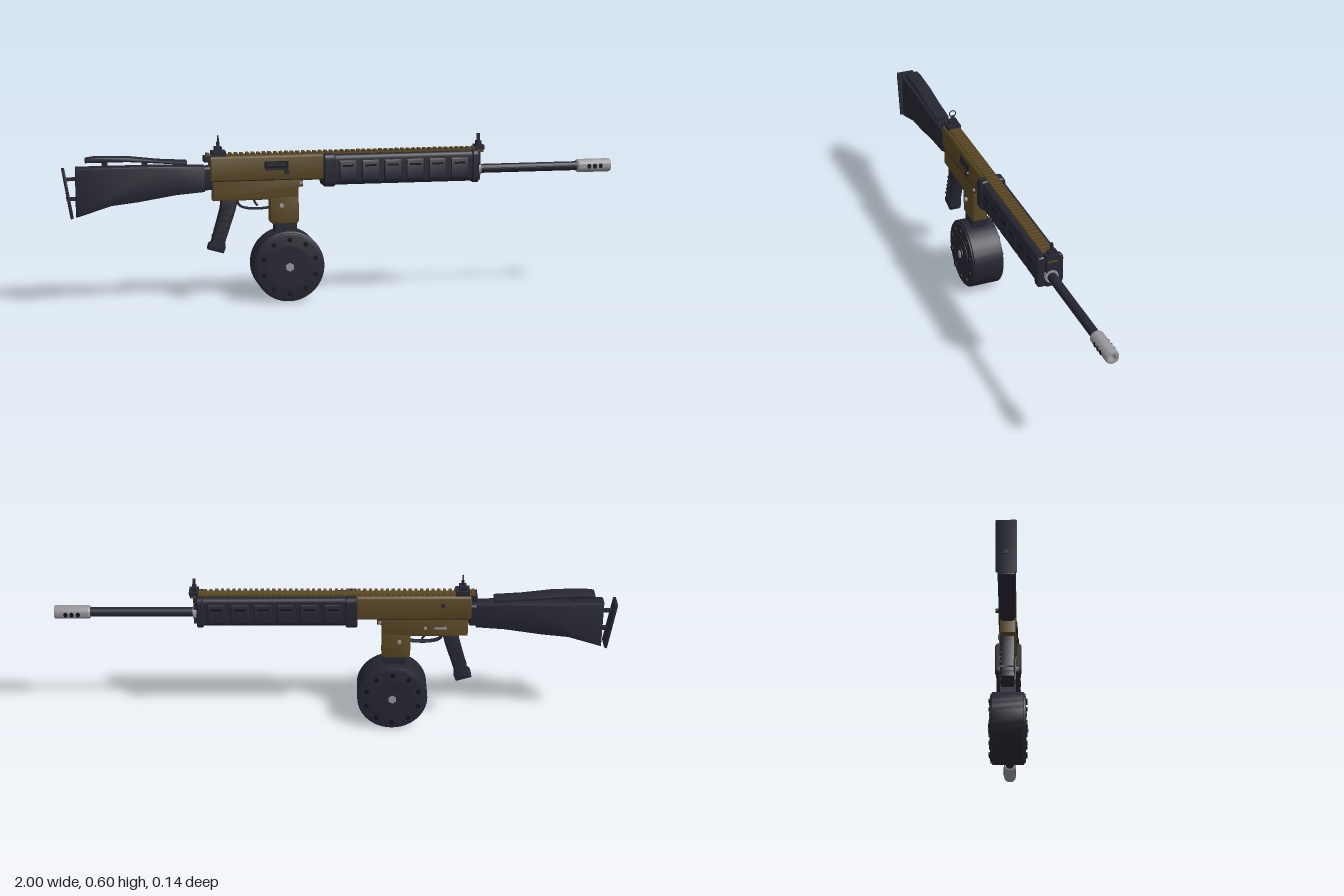
import * as THREE from 'three';
import { toCreasedNormals } from 'three/addons/utils/BufferGeometryUtils.js';

const mat = (name, color) => {
  const m = new THREE.MeshStandardMaterial({ color });
  m.name = name;
  return m;
};

export function createModel() {
  const dark = mat('dark polymer', 0x262632);
  const olive = mat('olive metal', 0x5a4824);
  const grey = mat('bare steel', 0x96969b);
  const black = mat('black recess', 0x111116);
  const root = new THREE.Group();
  root.name = 'rifle';

  const add = (name, geo, material, x = 0, y = 0, z = 0) => {
    const m = new THREE.Mesh(geo, material);
    m.name = name;
    m.position.set(x, y, z);
    root.add(m);
    return m;
  };
  // Box given by its limits
  const box = (name, material, x0, x1, y0, y1, z0, z1) =>
    add(name, new THREE.BoxGeometry(x1 - x0, y1 - y0, z1 - z0), material, (x0 + x1) / 2, (y0 + y1) / 2, (z0 + z1) / 2);
  // Side outline, extruded across the width with bevelled edges
  const side = (name, material, pts, half, bevel = 0.006) => {
    const shape = new THREE.Shape(pts.map(p => new THREE.Vector2(...p)));
    const geo = new THREE.ExtrudeGeometry(shape, {
      depth: 2 * (half - bevel), bevelThickness: bevel, bevelSize: bevel, bevelOffset: -bevel, bevelSegments: 2
    });
    geo.translate(0, 0, bevel - half);
    return add(name, toCreasedNormals(geo, 0.6), material);
  };
  // Rounded rectangle section, extruded along the length
  const bar = (name, material, x0, x1, y0, y1, half, r, bevel = 0.004) => {
    const s = new THREE.Shape();
    s.moveTo(-half + r, y0);
    s.lineTo(half - r, y0).quadraticCurveTo(half, y0, half, y0 + r);
    s.lineTo(half, y1 - r).quadraticCurveTo(half, y1, half - r, y1);
    s.lineTo(-half + r, y1).quadraticCurveTo(-half, y1, -half, y1 - r);
    s.lineTo(-half, y0 + r).quadraticCurveTo(-half, y0, -half + r, y0);
    const geo = new THREE.ExtrudeGeometry(s, {
      depth: x1 - x0 - 2 * bevel, bevelThickness: bevel, bevelSize: bevel, bevelOffset: -bevel, bevelSegments: 1, curveSegments: 5
    });
    geo.translate(0, 0, bevel);
    geo.rotateY(Math.PI / 2);
    return add(name, toCreasedNormals(geo, 0.6), material, x0);
  };
  // Turned part; profile points are [radius, position along the axis]
  const turned = (pts, axis, n = 32) => {
    const geo = new THREE.LatheGeometry(pts.map(p => new THREE.Vector2(...p)), n);
    if (axis === 'x') geo.rotateZ(-Math.PI / 2);
    else geo.rotateX(Math.PI / 2);
    return toCreasedNormals(geo, 0.5);
  };
  const pin = (name, material, r, x, y, z0, z1, n = 14) =>
    add(name, turned([[0, z0], [r, z0], [r, z1], [0, z1]], 'z', n), material, x, y, 0);

  // Barrel and muzzle brake
  const axisY = 0.453;
  add('barrel', turned([[0, 0.4], [0.0165, 0.4], [0.0165, 0.89], [0, 0.89]], 'x', 24), dark, 0, axisY);
  add('barrelNut', turned([[0, 0.48], [0.024, 0.48], [0.024, 0.507], [0, 0.507]], 'x', 24), grey, 0, axisY);
  add('muzzleBrake', turned([[0.016, 0.872], [0.021, 0.872], [0.0245, 0.878], [0.0245, 0.994], [0.022, 1],
    [0.013, 1], [0.013, 0.9]], 'x', 28), grey, 0, axisY);
  add('bore', turned([[0.013, 0.92], [0, 0.92]], 'x', 20), black, 0, axisY).material.side = THREE.DoubleSide;
  for (const s of [-1, 1]) for (let i = 0; i < 3; i++) {
    const port = pin('brakePort', black, 0.0075, 0.915 + i * 0.022, axisY, s > 0 ? 0.022 : -0.0255, s > 0 ? 0.0255 : -0.022, 12);
    port.scale.y = 1.2;
  }

  // Handguard with collars, side ribs and slots
  bar('handguard', dark, -0.07, 0.485, 0.413, 0.523, 0.041, 0.018);
  bar('handguardRearCollar', dark, -0.077, -0.035, 0.408, 0.526, 0.048, 0.018);
  bar('handguardFrontCap', dark, 0.468, 0.492, 0.408, 0.526, 0.048, 0.018);
  for (let i = 0; i < 6; i++) {
    const x = -0.022 + i * 0.082;
    bar('handguardRib', dark, x, x + 0.066, 0.42, 0.505, 0.0445, 0.014);
    for (const s of [-1, 1]) box('handguardSlot', black, x + 0.012, x + 0.054, 0.479, 0.486, s * 0.0445 - 0.001, s * 0.0445 + 0.001);
    box('handguardBottomSlot', black, x + 0.012, x + 0.054, 0.412, 0.42, -0.008, 0.008);
  }

  // Top rail with teeth
  box('railBase', olive, -0.495, 0.515, 0.515, 0.527, -0.018, 0.018);
  for (let i = 0; i < 50; i++) {
    const x = -0.493 + i * 0.0202;
    box('railTooth', olive, x, x + 0.011, 0.526, 0.534, -0.021, 0.021);
  }

  // Front sight
  box('frontSightPlate', dark, 0.492, 0.504, 0.415, 0.53, -0.018, 0.018);
  box('frontSightBase', dark, 0.485, 0.518, 0.526, 0.541, -0.024, 0.024);
  box('frontSightBlock', dark, 0.492, 0.508, 0.535, 0.556, -0.015, 0.015);
  box('frontSightPost', dark, 0.495, 0.505, 0.55, 0.583, -0.004, 0.004);

  // Rear sight with ring aperture
  box('rearSightBase', dark, -0.475, -0.425, 0.525, 0.543, -0.024, 0.024);
  box('rearSightBlock', dark, -0.463, -0.438, 0.54, 0.558, -0.016, 0.016);
  box('rearSightStem', dark, -0.455, -0.445, 0.555, 0.574, -0.007, 0.007);
  const ring = new THREE.TorusGeometry(0.012, 0.002, 8, 24);
  ring.rotateY(Math.PI / 2);
  add('rearSightRing', ring, dark, -0.45, 0.584);
  box('rearBracket', dark, -0.502, -0.478, 0.505, 0.526, -0.026, 0.026);

  // Receiver
  bar('upperReceiver', olive, -0.482, -0.072, 0.432, 0.526, 0.031, 0.014);
  side('lowerReceiver', olive, [[-0.472, 0.366], [-0.27, 0.366], [-0.165, 0.372], [-0.165, 0.405],
    [-0.15, 0.42], [-0.15, 0.445], [-0.472, 0.445]], 0.028);
  side('magazineWell', olive, [[-0.268, 0.285], [-0.258, 0.277], [-0.172, 0.277], [-0.165, 0.285],
    [-0.165, 0.375], [-0.268, 0.375]], 0.0285);
  box('receiverSeam', black, -0.465, -0.155, 0.436, 0.44, -0.0295, 0.0295);

  // Ejection port and controls
  box('ejectionPort', black, -0.288, -0.203, 0.478, 0.504, 0.0305, 0.032);
  box('portCover', dark, -0.283, -0.208, 0.487, 0.501, 0.031, 0.034);
  box('portHinge', dark, -0.288, -0.205, 0.473, 0.48, 0.031, 0.036);
  pin('forwardAssist', dark, 0.01, -0.21, 0.466, 0.028, 0.038);
  box('chargingHandle', dark, -0.387, -0.372, 0.492, 0.5, -0.042, -0.028);
  pin('magazineRelease', grey, 0.008, -0.228, 0.345, 0.026, 0.037);
  pin('magazineCatch', grey, 0.007, -0.228, 0.345, -0.033, -0.026);
  pin('frontPin', grey, 0.006, -0.157, 0.424, -0.03, 0.03);
  for (const x of [-0.39, -0.32]) pin('receiverPin', grey, 0.006, x, 0.4, -0.0305, 0.0);
  box('selectorLever', grey, -0.385, -0.352, 0.397, 0.403, -0.033, -0.027);
  box('frontLug', dark, -0.162, -0.148, 0.408, 0.434, -0.014, 0.014);

  // Trigger and guard
  const guard = new THREE.CatmullRomCurve3([[-0.385, 0.368], [-0.375, 0.345], [-0.345, 0.334], [-0.3, 0.332], [-0.266, 0.335]]
    .map(p => new THREE.Vector3(...p, 0)));
  const guardGeo = new THREE.TubeGeometry(guard, 24, 0.0045, 8);
  guardGeo.scale(1, 1, 2.4);
  add('triggerGuard', guardGeo, dark);
  const trigger = new THREE.CatmullRomCurve3([[-0.325, 0.37], [-0.32, 0.355], [-0.31, 0.342]].map(p => new THREE.Vector3(...p, 0)));
  add('trigger', new THREE.TubeGeometry(trigger, 8, 0.004, 8), dark);

  // Pistol grip with finger ridges
  side('pistolGrip', dark, [[-0.44, 0.372], [-0.382, 0.372], [-0.392, 0.33], [-0.43, 0.215], [-0.428, 0.195],
    [-0.436, 0.176], [-0.492, 0.192], [-0.487, 0.21], [-0.477, 0.218], [-0.445, 0.335]], 0.024, 0.007);
  for (let i = 0; i < 5; i++) {
    const ridge = box('gripRidge', dark, -0.452, -0.414, 0.285, 0.292, -0.0255, 0.0255);
    ridge.position.set(-0.425 - i * 0.0075, 0.315 - i * 0.021, 0);
    ridge.rotation.z = -0.28;
  }

  // Stock, cheek rest and butt pad
  side('stock', dark, [[-0.5, 0.492], [-0.5, 0.4], [-0.6, 0.392], [-0.74, 0.37], [-0.83, 0.36], [-0.952, 0.322],
    [-0.952, 0.497], [-0.66, 0.497]], 0.029, 0.008);
  bar('stockSocket', dark, -0.52, -0.474, 0.405, 0.49, 0.026, 0.012);
  side('cheekRest', dark, [[-0.562, 0.511], [-0.562, 0.498], [-0.66, 0.506], [-0.77, 0.514], [-0.918, 0.514],
    [-0.918, 0.528], [-0.88, 0.533], [-0.77, 0.53], [-0.66, 0.517]], 0.026, 0.004);
  for (const x of [-0.86, -0.72]) box('cheekRestPost', dark, x, x + 0.02, 0.49, 0.516, -0.008, 0.008);
  side('buttPad', dark, [[-1, 0.492], [-0.99, 0.492], [-0.962, 0.322], [-0.972, 0.318]], 0.034, 0.003);
  for (const y of [0.38, 0.45]) box('buttPadRod', dark, -0.985, -0.945, y, y + 0.012, -0.006, 0.006);

  // Drum magazine with neck, bolts and hub
  const cx = -0.205, cy = 0.127;
  box('magazineNeck', dark, -0.25, -0.172, 0.22, 0.285, -0.027, 0.027);
  add('drum', turned([[0, -0.062], [0.112, -0.062], [0.121, -0.06], [0.122, -0.056], [0.127, -0.054],
    [0.127, 0.054], [0.122, 0.056], [0.121, 0.06], [0.112, 0.062], [0, 0.062]], 'z', 56), dark, cx, cy);
  for (const s of [-1, 1]) {
    const span = (a, b) => (s > 0 ? [a, b] : [-b, -a]);
    pin('drumFace', dark, 0.075, cx, cy, ...span(0.06, 0.064), 40);
    pin('drumHubPlate', dark, 0.03, cx, cy, ...span(0.062, 0.067), 24);
    pin('drumHub', grey, 0.016, cx, cy, ...span(0.064, 0.07), 6);
    for (let i = 0; i < 10; i++) {
      const a = (i + 0.5) * Math.PI / 5;
      pin('drumBolt', black, 0.0085, cx + 0.098 * Math.cos(a), cy + 0.098 * Math.sin(a), ...span(0.06, 0.067), 8);
    }
  }
  return root;
}
